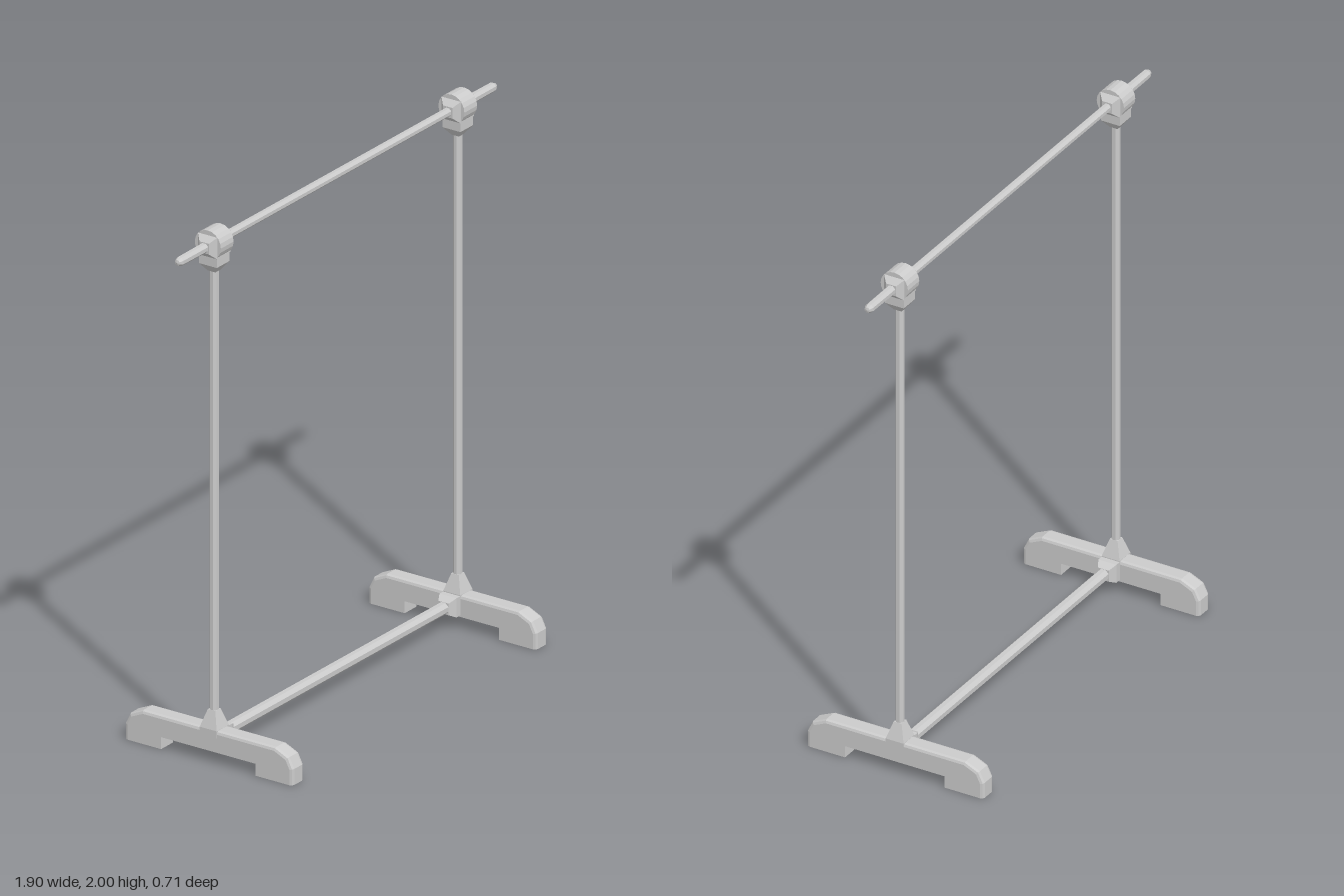
import * as THREE from 'three';

const material = new THREE.MeshStandardMaterial({ color: 0xcccccc, flatShading: true });
const POST_X = 0.725, RAIL_Y = 1.942, BAR_Y = 0.087;

function add(parent, name, geometry) {
  const mesh = new THREE.Mesh(geometry, material);
  mesh.name = name;
  parent.add(mesh);
  return mesh;
}

// Turned part along y from [radius, y] pairs; squares are given by half width
function turned(points, sides = 8) {
  const k = 1 / Math.cos(Math.PI / sides);
  const g = new THREE.LatheGeometry(points.map(([r, y]) => new THREE.Vector2(r * k, y)), sides);
  return g.rotateY(Math.PI / sides);
}

// The same, laid along x
const turnedX = (points, sides) => turned(points, sides).rotateZ(-Math.PI / 2);

// Foot: bridge-shaped side profile with chamfered upper edges
function footGeometry() {
  const half = [[0.2, 0.045], [0.2, 0], [0.355, 0], [0.355, 0.06], [0.335, 0.1], [0.28, 0.125]];
  const pts = [...half, ...half.map(([z, y]) => [-z, y]).reverse()];
  const bevel = 0.012, width = 0.07;
  const g = new THREE.ExtrudeGeometry(new THREE.Shape(pts.map((p) => new THREE.Vector2(...p))), {
    depth: width - 2 * bevel, bevelEnabled: true, bevelThickness: bevel,
    bevelSize: bevel, bevelOffset: -bevel, bevelSegments: 2,
  });
  // Keep the underside and the notch square
  const p = g.attributes.position;
  for (let i = 0; i < p.count; i++) {
    const z = Math.abs(p.getX(i)), y = p.getY(i);
    if (z < 0.22 && z > 0.19) p.setX(i, Math.sign(p.getX(i)) * 0.2);
    if (y < 0.02) p.setY(i, 0);
    else if (z < 0.22 && y < 0.06) p.setY(i, 0.045);
  }
  g.translate(0, 0, bevel - width / 2).rotateY(-Math.PI / 2);
  g.computeVertexNormals();
  return g;
}

// One upright with its foot, sockets and rail holder
function buildSide(sign) {
  const side = new THREE.Group();
  side.name = sign > 0 ? 'leftStand' : 'rightStand';
  side.position.x = sign * POST_X;
  if (sign > 0) side.rotation.y = Math.PI; // local +x points to the middle

  add(side, 'foot', footGeometry());
  add(side, 'postSocket', turned([[0.036, 0.1], [0.036, 0.126], [0.016, 0.19], [0, 0.19]], 4));
  add(side, 'post', turned([[0.015, 0.12], [0.015, 1.88]]));
  add(side, 'barSocket', turnedX([[0.036, 0.02], [0.036, 0.058], [0.022, 0.085], [0, 0.085]], 4))
    .position.y = BAR_Y;

  // Rail holder: round head on a tapered square neck, with a boss each side
  add(side, 'holderHead', new THREE.CylinderGeometry(0.055, 0.055, 0.076, 20).rotateZ(Math.PI / 2))
    .position.y = 1.945;
  add(side, 'holderNeck', turned([[0, 1.838], [0.016, 1.838], [0.038, 1.868], [0.038, 1.93]], 4));
  for (const s of [1, -1]) {
    const boss = add(side, 'holderBoss', turnedX([[0.04, 0.03], [0.04, 0.04], [0.02, 0.06], [0, 0.06]], 4));
    boss.position.y = RAIL_Y;
    if (s < 0) boss.rotation.y = Math.PI;
  }
  return side;
}

export function createModel() {
  const model = new THREE.Group();
  model.name = 'clothesRack';
  for (const sign of [1, -1]) model.add(buildSide(sign));

  // Hanging rail with rounded ends outside the holders
  const end = [[0, 0.948], [0.01, 0.945], [0.016, 0.93], [0.017, 0.77], [0.015, 0.72]];
  const profile = [...end.map(([r, x]) => [r, -x]), ...[...end].reverse()];
  add(model, 'hangingRail', turnedX(profile)).position.y = RAIL_Y;

  // Lower crossbar between the feet
  add(model, 'lowerBar', turnedX([[0.021, -0.69], [0.021, 0.69]])).position.y = BAR_Y;
  return model;
}
